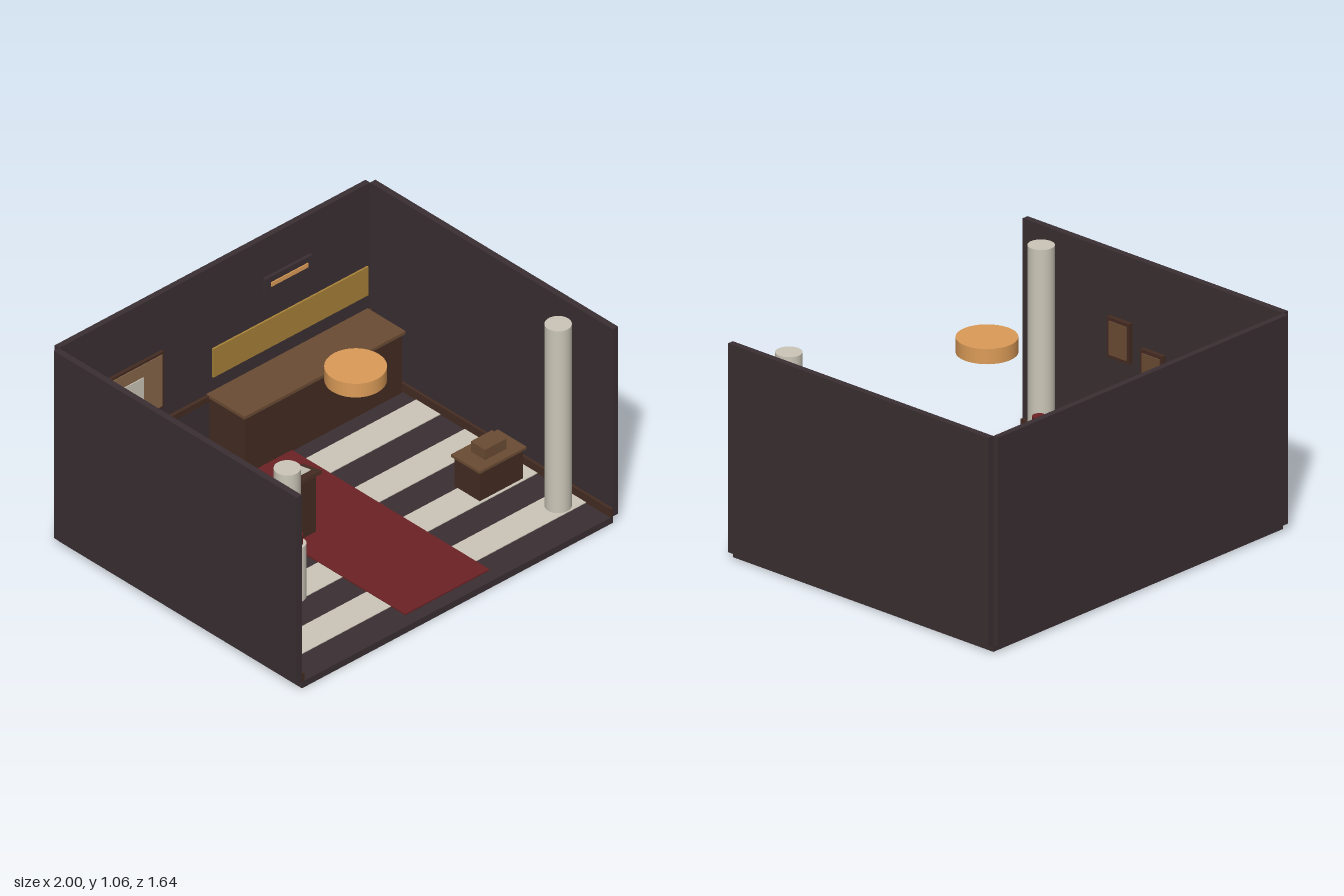
import * as THREE from 'three';

const mat = (name, color) => {
  const m = new THREE.MeshStandardMaterial({ color });
  m.name = name;
  return m;
};

export function createModel() {
  const group = new THREE.Group();
  const wall = mat('charcoal', 0x3a2f32);
  const cream = mat('cream', 0xcbc6b8);
  const darkWood = mat('dark wood', 0x452c22);
  const wood = mat('wood', 0x6b4c34);
  const canvas = mat('tan canvas', 0x87664a);
  const red = mat('deep red', 0x6b2224);
  const gold = mat('gold', 0xa88238);
  const amber = mat('amber', 0xdc9c58);

  // Box given by its two extreme corners
  const box = (name, m, [x0, x1], [y0, y1], [z0, z1], parent = group) => {
    const mesh = new THREE.Mesh(new THREE.BoxGeometry(x1 - x0, y1 - y0, z1 - z0), m);
    mesh.position.set((x0 + x1) / 2, (y0 + y1) / 2, (z0 + z1) / 2);
    mesh.name = name;
    parent.add(mesh);
    return mesh;
  };
  const cylinder = (name, m, r, x, z, y0, y1) => {
    const mesh = new THREE.Mesh(new THREE.CylinderGeometry(r, r, y1 - y0, 32), m);
    mesh.position.set(x, (y0 + y1) / 2, z);
    mesh.name = name;
    group.add(mesh);
  };

  // Room shell, open at the front and top
  box('floor', wall, [-0.967, 0.967], [0, 0.035], [-0.79, 0.82]);
  box('backWall', wall, [-0.967, 0.967], [0.035, 1.065], [-0.82, -0.79]);
  for (const s of [-1, 1]) {
    const side = s < 0 ? 'right' : 'left';
    const span = (a, b) => (s < 0 ? [-b, -a] : [a, b]);
    box(side + 'Wall', wall, span(0.967, 1), [0.035, 1.065], [-0.79, 0.82]);
    box(side + 'Skirting', darkWood, span(0.952, 0.967), [0.035, 0.08], [-0.79, 0.82]);
    cylinder(side + 'Column', cream, 0.0625, s * 0.842, 0.59, 0.035, 1.04);
  }
  box('backSkirting', darkWood, [-0.967, 0.967], [0.035, 0.08], [-0.79, -0.775]);
  box('backRail', darkWood, [-0.967, 0.967], [0.345, 0.375], [-0.79, -0.772]);

  // Striped floor and carpet
  for (let i = 0; i < 5; i++) {
    const z = -0.79 + i * 0.322;
    box('floorStripe', cream, [-0.952, 0.952], [0.035, 0.039], [z, z + 0.16]);
  }
  box('carpet', red, [-0.262, 0.262], [0.036, 0.043], [-0.735, 0.753]);

  // Counter with a gold panel above it
  box('counterBody', darkWood, [-0.035, 0.945], [0.035, 0.364], [-0.785, -0.555]);
  box('counterTop', wood, [-0.05, 0.952], [0.364, 0.38], [-0.79, -0.538]);
  box('goldPanel', gold, [-0.033, 0.932], [0.475, 0.632], [-0.772, -0.762]);

  // Wall light
  box('wallLightHousing', wall, [0.302, 0.592], [0.772, 0.852], [-0.79, -0.773]);
  box('wallLightGlow', amber, [0.334, 0.564], [0.8, 0.822], [-0.775, -0.767]);

  // Large picture on the back wall
  box('pictureFrame', darkWood, [-0.71, -0.328], [0.447, 0.755], [-0.79, -0.775]);
  box('pictureCanvas', canvas, [-0.697, -0.341], [0.46, 0.742], [-0.777, -0.771]);
  box('pictureSheet', cream, [-0.58, -0.46], [0.53, 0.675], [-0.773, -0.766]);

  // Small pictures on the right-hand wall: [z, y]
  for (const [z, y] of [[0.21, 0.645], [0.005, 0.545], [-0.507, 0.645], [-0.637, 0.545]]) {
    box('smallFrame', darkWood, [-0.967, -0.945], [y - 0.1, y + 0.1], [z - 0.069, z + 0.069]);
    box('smallCanvas', wood, [-0.947, -0.94], [y - 0.083, y + 0.083], [z - 0.054, z + 0.054]);
  }
  box('noticeBacking', wall, [-0.967, -0.938], [0.562, 0.673], [-0.36, -0.215]);
  box('noticeSheet', cream, [-0.938, -0.93], [0.56, 0.675], [-0.365, -0.21]);

  // Hanging lamp
  cylinder('hangingLamp', amber, 0.143, 0, 0.145, 0.905, 0.98);

  // Pedestal with a red ornament
  cylinder('pedestal', cream, 0.049, -0.52, 0.302, 0.035, 0.33);
  cylinder('pedestalOrnament', red, 0.034, -0.52, 0.302, 0.33, 0.38);

  // Lectern with a tilted reading board
  box('lecternBody', darkWood, [-0.225, -0.105], [0.035, 0.348], [-0.1, -0.005]);
  const board = new THREE.Group();
  board.name = 'lecternBoard';
  board.position.set(-0.165, 0.355, -0.054);
  board.rotation.x = -0.2;
  box('boardSlab', darkWood, [-0.082, 0.082], [-0.008, 0.008], [-0.065, 0.065], board);
  box('boardPaper', cream, [-0.056, 0.056], [0.007, 0.012], [-0.043, 0.02], board);
  group.add(board);

  // Desk with a box on it
  box('deskBody', darkWood, [0.605, 0.873], [0.035, 0.2], [0.157, 0.323]);
  box('deskTop', wood, [0.593, 0.885], [0.2, 0.214], [0.145, 0.335]);
  box('deskBox', wood, [0.674, 0.806], [0.214, 0.27], [0.19, 0.285]);

  return group;
}
